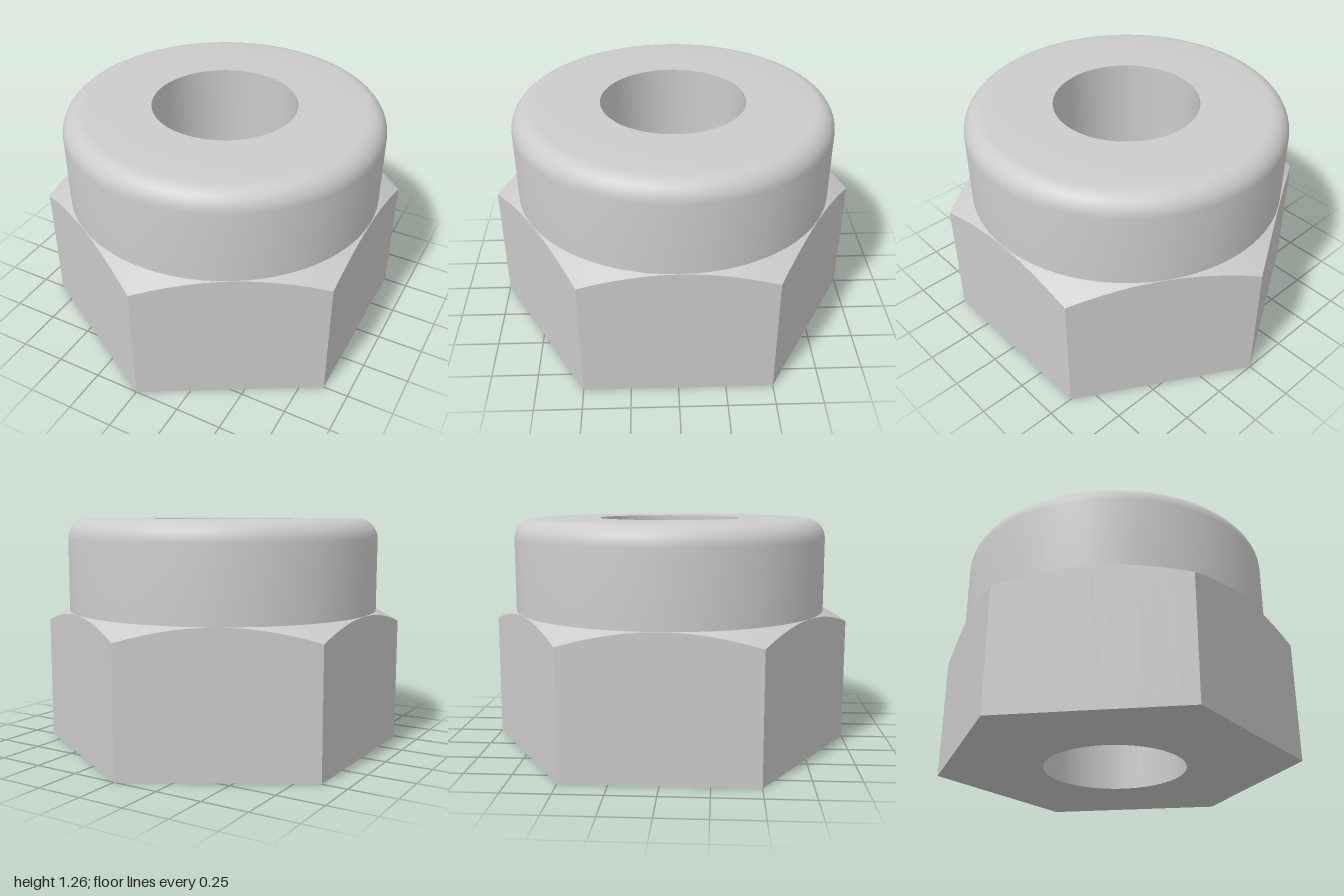
import * as THREE from 'three';
import { toCreasedNormals } from 'three/addons/utils/BufferGeometryUtils.js';

const SEGMENTS = 72; // multiple of six, so hexagon corners fall on vertices
const APOTHEM = Math.sqrt(3) / 2;
const BORE = 0.39;
const COLLAR = 0.863;
const SHOULDER = 0.757;
const TOP = 1.26;
const FILLET = 0.11;

function part(name, geometry) {
  const material = new THREE.MeshStandardMaterial({ color: 0xcccccc });
  const mesh = new THREE.Mesh(toCreasedNormals(geometry, 0.45), material);
  mesh.name = name;
  return mesh;
}

const turn = (points) =>
  new THREE.LatheGeometry(points.map(([r, y]) => new THREE.Vector2(r, y)), SEGMENTS);

// Turned blank whose outer rings are pulled onto a hexagon, with a 30 degree conical chamfer
function hexGeometry() {
  const geometry = turn([[BORE, 0], [1, 0], [1, 0.68], [COLLAR, SHOULDER]]);
  const pos = geometry.attributes.position;
  const sector = Math.PI / 3;
  for (let i = 0; i < pos.count; i++) {
    const x = pos.getX(i), z = pos.getZ(i);
    if (Math.hypot(x, z) < 0.95) continue;
    const step = Math.floor(i / 4) % (SEGMENTS / 6);
    const r = APOTHEM / Math.cos(step * (Math.PI * 2 / SEGMENTS) - sector / 2);
    const y = pos.getY(i) > 0 ? SHOULDER - (r - APOTHEM) * Math.tan(Math.PI / 6) : 0;
    pos.setXYZ(i, x * r, y, z * r);
  }
  return geometry;
}

// Round collar with a filleted top rim
function collarGeometry() {
  const points = [[COLLAR, SHOULDER]];
  for (let i = 0; i <= 8; i++) {
    const a = (i / 8) * Math.PI / 2;
    points.push([COLLAR - FILLET + FILLET * Math.cos(a), TOP - FILLET + FILLET * Math.sin(a)]);
  }
  points.push([BORE, TOP]);
  return turn(points);
}

export function createModel() {
  const nut = new THREE.Group();
  nut.name = 'collaredHexNut';
  nut.add(
    part('hexBody', hexGeometry()),
    part('collar', collarGeometry()),
    // Inward-facing wall of the through hole
    part('bore', turn([[BORE, TOP], [BORE, 0]]))
  );
  return nut;
}
